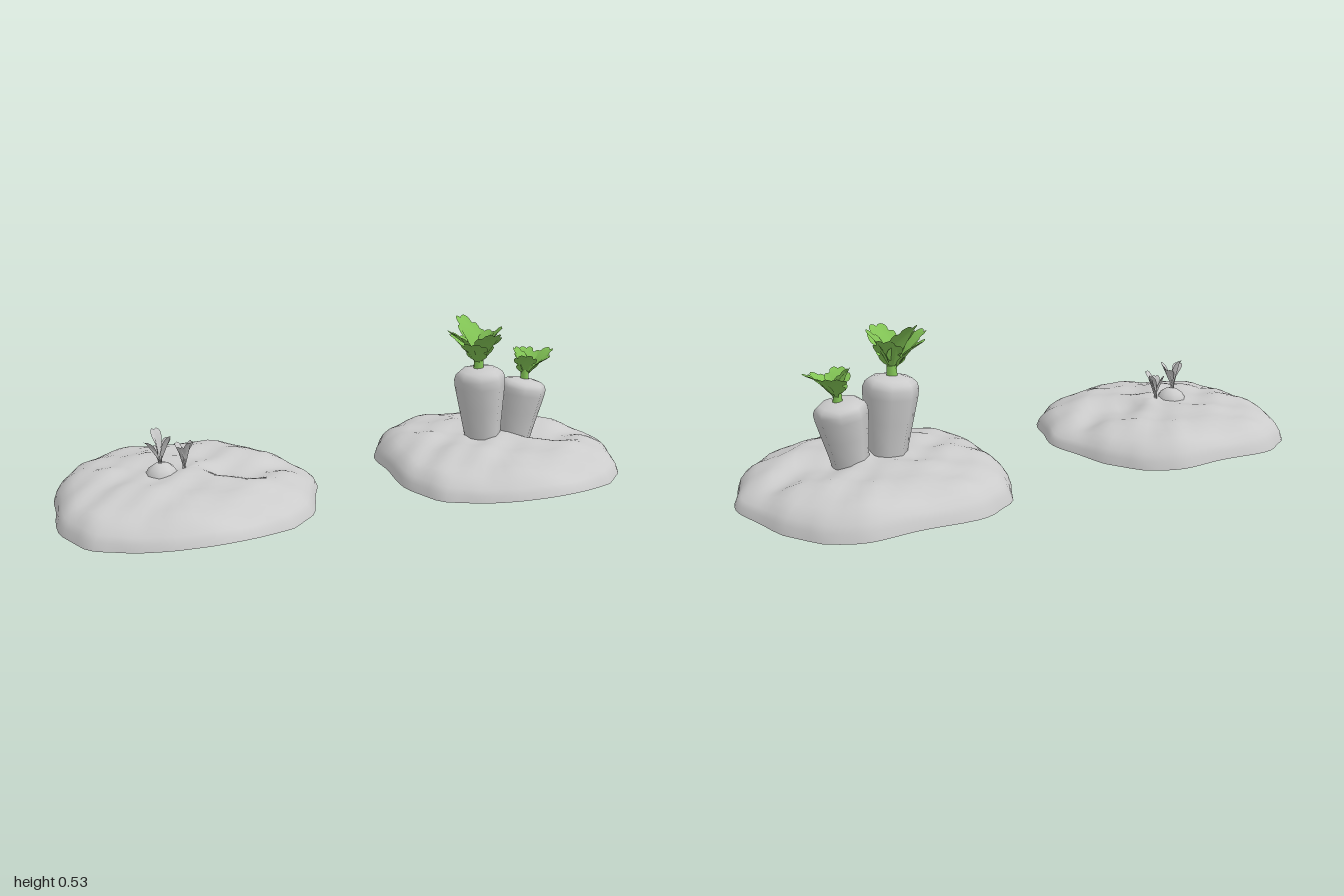
import * as THREE from 'three';

const grey = new THREE.MeshStandardMaterial({ color: 0xcccccc, side: THREE.DoubleSide });
const green = new THREE.MeshStandardMaterial({ color: 0x82c455, side: THREE.DoubleSide });
const V = (x, y, z) => new THREE.Vector3(x, y, z);

function add(parent, name, geometry, material) {
  const mesh = new THREE.Mesh(geometry, material);
  mesh.name = name;
  parent.add(mesh);
  return mesh;
}

// Mound outline seen from above (x, z)
const OUTLINE = [
  [0.435, 0], [0.385, 0.14], [0.32, 0.28], [0.17, 0.385], [-0.035, 0.43], [-0.235, 0.378],
  [-0.365, 0.295], [-0.433, 0.16], [-0.42, -0.03], [-0.405, -0.18], [-0.37, -0.26], [-0.29, -0.365],
  [-0.155, -0.43], [0.06, -0.42], [0.195, -0.405], [0.34, -0.28], [0.41, -0.11],
];
// Mound cross-section: fraction of the outline, height
const RINGS = [
  [0, 0.113], [0.08, 0.113], [0.16, 0.113], [0.24, 0.112], [0.32, 0.111], [0.4, 0.11], [0.48, 0.108],
  [0.56, 0.106], [0.64, 0.103], [0.72, 0.099], [0.79, 0.093], [0.85, 0.084], [0.9, 0.073], [0.95, 0.053],
  [0.98, 0.033], [1, 0.007],
];

// Open-bottomed lumpy soil shell
function moundGeometry() {
  const N = 72;
  const curve = new THREE.CatmullRomCurve3(OUTLINE.map(([x, z]) => V(x, 0, z)), true);
  const rim = curve.getPoints(N);
  const pos = [], index = [];
  RINGS.forEach(([f, h], i) => {
    for (let j = 0; j < N; j++) {
      const a = Math.atan2(rim[j].z, rim[j].x);
      const ragged = 1 + f ** 4 * (0.008 * Math.sin(13 * a + 1) + 0.006 * Math.sin(21 * a)) * Math.sin(2 * a) ** 2;
      const x = rim[j].x * f * ragged, z = rim[j].z * f * ragged;
      const lumps = 0.007 * Math.sin(19 * x + 6 * z + 1) * Math.cos(17 * z - 5 * x)
        + 0.006 * Math.sin(37 * z + 9 * x) * Math.cos(29 * x + 0.6);
      // Gentler slope to the front and left, with a hollow beside the middle
      const slope = 0.022 * f ** 4 * (Math.max(0, Math.sin(a)) + 0.7 * Math.max(0, Math.cos(a))) + 0.025 * z * f;
      const hollow = 0.024 * Math.exp(-((z / 0.09) ** 2)) * THREE.MathUtils.smoothstep(x, 0.03, 0.1);
      const wave = 0.007 * Math.cos(4 * a) * f ** 12;
      pos.push(x, h + (lumps - slope - hollow) * (1 - f ** 8) + wave, z);
      if (i < RINGS.length - 1) {
        const p = i * N + j, q = i * N + (j + 1) % N;
        if (i > 0) index.push(p, q, p + N);
        index.push(q, q + N, p + N);
      }
    }
  });
  const g = new THREE.BufferGeometry();
  g.setAttribute('position', new THREE.Float32BufferAttribute(pos, 3));
  g.setIndex(index);
  g.computeVertexNormals();
  return g;
}

// Half outline of a lobed leaf: half width, distance along its length (both 0..1)
const HALF_LEAF = [
  [0.12, 0], [0.12, 0.16], [0.2, 0.28], [0.5, 0.32], [0.76, 0.4], [0.78, 0.49], [0.6, 0.55],
  [0.9, 0.6], [1.02, 0.7], [0.94, 0.81], [0.66, 0.83], [0.62, 0.93], [0.38, 1], [0.12, 0.99], [0, 0.96],
];
// Half outline of a narrow sprout leaf
const HALF_SPROUT = [[0.4, 0], [0.4, 0.4], [0.6, 0.55], [1, 0.75], [1, 0.92], [0.5, 1], [0, 0.97]];

// Bent leaf from base to tip
function leafGeometry(half, base, tip, width) {
  const right = half.map(([w, t]) => new THREE.Vector2(w, t));
  const left = half.slice(1, -1).reverse().map(([w, t]) => new THREE.Vector2(-w, t));
  const shape = new THREE.Shape();
  shape.moveTo(right[0].x, right[0].y);
  shape.splineThru([...right.slice(1), ...left, new THREE.Vector2(-half[0][0], half[0][1])]);
  const g = new THREE.ShapeGeometry(shape, 3);
  const along = tip.clone().sub(base);
  const side = V(along.z, 0, -along.x).normalize();
  const normal = side.clone().cross(along).normalize();
  const p = g.attributes.position;
  for (let i = 0; i < p.count; i++) {
    const w = p.getX(i), t = p.getY(i);
    const bend = -0.1 * along.length() * Math.sin(Math.PI * t) - 0.2 * Math.abs(w) * width;
    const v = base.clone().addScaledVector(along, t)
      .addScaledVector(side, w * width).addScaledVector(normal, bend);
    p.setXYZ(i, v.x, v.y, v.z);
  }
  g.computeVertexNormals();
  return g;
}

function leaves(parent, name, half, base, tips, width, material) {
  const group = new THREE.Group();
  group.name = name;
  tips.forEach((t) => add(group, 'leaf', leafGeometry(half, base, V(...t), width), material));
  parent.add(group);
}

// Eight-sided root, radius and height
const ROOT = [
  [0, 0], [0.03, 0.004], [0.05, 0.022], [0.059, 0.06], [0.065, 0.12], [0.076, 0.2], [0.087, 0.28],
  [0.088, 0.308], [0.081, 0.326], [0.066, 0.338], [0.035, 0.345], [0, 0.346],
].map(([r, y]) => new THREE.Vector2(r, y));

function carrot(parent, name, x, y, tilt, sr, sy) {
  const root = add(parent, name, new THREE.LatheGeometry(ROOT, 8, Math.PI / 8), grey);
  root.position.set(x, y, 0);
  root.rotation.z = tilt;
  root.scale.set(sr, sy, sr);
}

export function createModel() {
  const model = new THREE.Group();
  model.name = 'carrotPatch';
  const soil = moundGeometry();
  add(model, 'sproutMound', soil, grey).position.x = -0.565;
  add(model, 'carrotMound', soil, grey).position.x = 0.565;

  // Grown carrots leaning apart
  carrot(model, 'largeCarrot', 0.508, 0.014, 0.085, 1.01, 1);
  carrot(model, 'smallCarrot', 0.617, 0.026, -0.15, 0.96, 0.81);

  // Leaf crowns with a short neck
  const bigTop = V(0.477, 0.345, 0), smallTop = V(0.662, 0.29, 0);
  for (const [top, r] of [[bigTop, 0.02], [smallTop, 0.017]]) {
    add(model, 'leafNeck', new THREE.CylinderGeometry(r * 0.8, r, 0.05, 8), green)
      .position.copy(top).add(V(0, 0.02, 0));
  }
  leaves(model, 'largeCarrotLeaves', HALF_LEAF, bigTop, [
    [0.445, 0.527, -0.095], [0.47, 0.495, 0.125], [0.362, 0.49, -0.01],
    [0.548, 0.5, 0.035], [0.525, 0.48, -0.05], [0.41, 0.455, 0.065], [0.395, 0.47, -0.07],
  ], 0.047, green);
  leaves(model, 'smallCarrotLeaves', HALF_LEAF, smallTop, [
    [0.772, 0.4, -0.01], [0.715, 0.395, -0.085], [0.635, 0.395, 0.05],
    [0.73, 0.385, 0.055], [0.635, 0.41, -0.035],
  ], 0.039, green);

  // Young root just breaking the soil
  const bulb = add(model, 'sproutRoot', new THREE.SphereGeometry(0.058, 8, 8), grey);
  bulb.position.set(-0.65, 0.087, 0);
  bulb.rotation.y = Math.PI / 8;
  leaves(model, 'sproutLeaves', HALF_SPROUT, V(-0.655, 0.135, 0), [
    [-0.708, 0.225, 0.03], [-0.665, 0.252, -0.03], [-0.622, 0.238, 0.03], [-0.62, 0.22, -0.015],
  ], 0.017, grey);
  leaves(model, 'smallSproutLeaves', HALF_SPROUT, V(-0.578, 0.112, 0), [
    [-0.6, 0.2, -0.02], [-0.562, 0.212, 0.04], [-0.548, 0.205, -0.005], [-0.595, 0.195, 0.025],
  ], 0.014, grey);
  return model;
}
